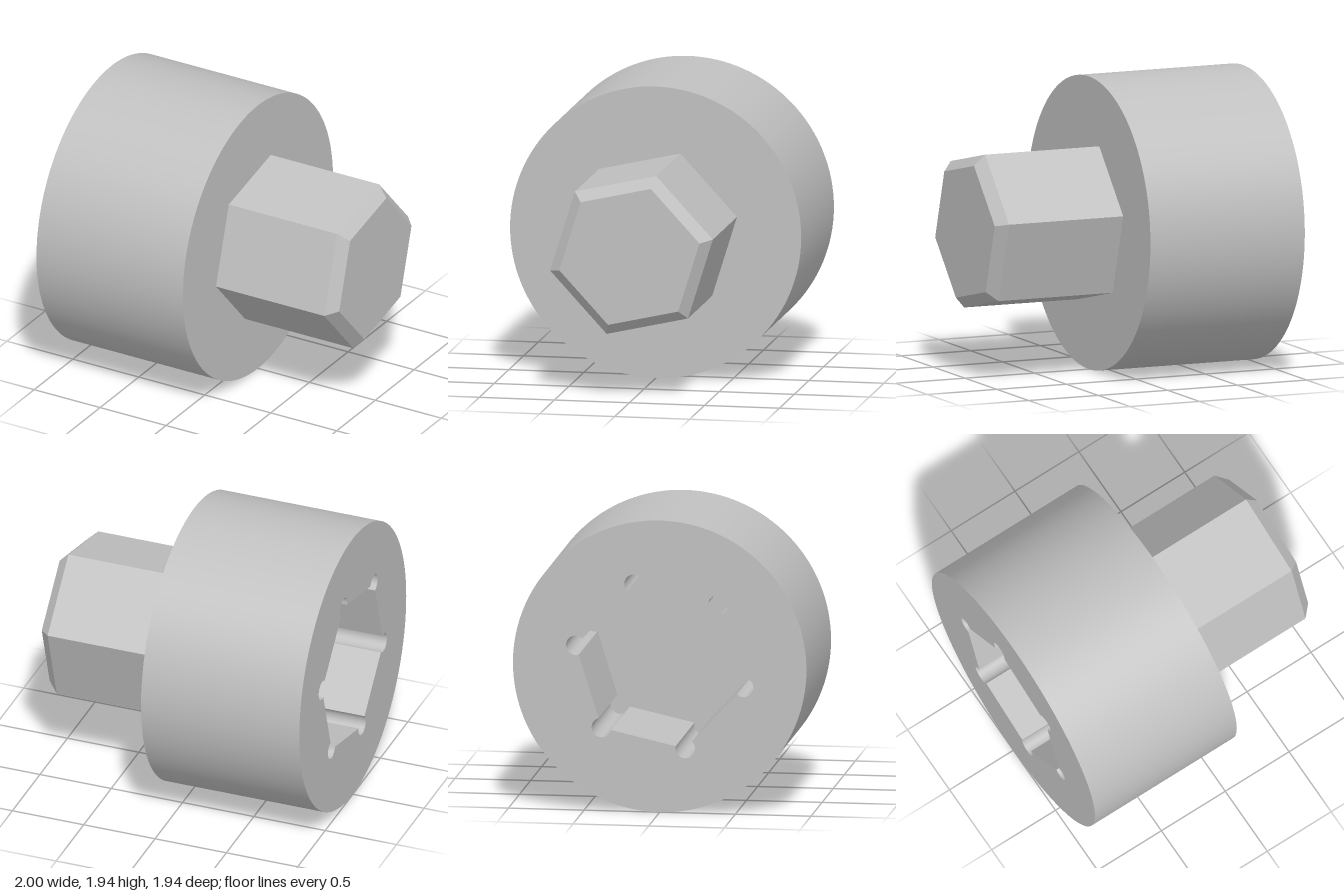
import * as THREE from 'three';
import { toCreasedNormals } from 'three/addons/utils/BufferGeometryUtils.js';

const BODY_R = 0.97, BACK = -1, FRONT = 0.11, DEPTH = 0.85;
const HEX_R = 0.556, TIP_R = 0.479, CHAMFER = 0.07;
const SOCKET_R = 0.568, RELIEF_R = 0.065;
const TWIST = THREE.MathUtils.degToRad(12.7);

// Hexagon outline with a round relief at each corner, counter-clockwise
function socketOutline() {
  const pts = [], steps = 16, third = (Math.PI * 2) / 3;
  for (let k = 0; k < 6; k++) {
    const a = -TWIST + (k * Math.PI) / 3;
    for (let i = 0; i <= steps; i++) {
      const t = a - third + (2 * third * i) / steps;
      pts.push(new THREE.Vector2(
        SOCKET_R * Math.cos(a) + RELIEF_R * Math.cos(t),
        SOCKET_R * Math.sin(a) + RELIEF_R * Math.sin(t)));
    }
  }
  return pts;
}

// Inward-facing walls between the socket mouth and its floor
function socketWalls(pts) {
  const pos = [];
  const mouth = (p) => [BACK, p.y, p.x], floor = (p) => [BACK + DEPTH, p.y, p.x];
  pts.forEach((p, i) => {
    const q = pts[(i + 1) % pts.length];
    pos.push(...floor(p), ...mouth(q), ...floor(q), ...floor(p), ...mouth(p), ...mouth(q));
  });
  const g = new THREE.BufferGeometry();
  g.setAttribute('position', new THREE.Float32BufferAttribute(pos, 3));
  return toCreasedNormals(g, Math.PI / 6);
}

export function createModel() {
  const model = new THREE.Group();
  const steel = new THREE.MeshStandardMaterial({ color: 0xc0c0c0 });
  steel.name = 'grey steel';

  const add = (name, geometry) => {
    const mesh = new THREE.Mesh(geometry, steel);
    mesh.name = name;
    mesh.position.y = BODY_R;
    model.add(mesh);
  };
  // Six-sided frustum along x, flat faced
  const hexPrism = (r0, r1, x0, x1, open) => {
    const g = new THREE.CylinderGeometry(r1, r0, x1 - x0, 6, 1, open, TWIST)
      .rotateZ(-Math.PI / 2).translate((x0 + x1) / 2, 0, 0).toNonIndexed();
    g.computeVertexNormals();
    return g;
  };

  // Round body
  add('bodySide', new THREE.CylinderGeometry(BODY_R, BODY_R, FRONT - BACK, 128, 1, true)
    .rotateZ(-Math.PI / 2).translate((FRONT + BACK) / 2, 0, 0));
  add('bodyShoulder', new THREE.CircleGeometry(BODY_R, 128)
    .rotateY(Math.PI / 2).translate(FRONT, 0, 0));

  // Socket sunk into the body's open end
  const outline = socketOutline();
  const rim = new THREE.Shape().absarc(0, 0, BODY_R, 0, Math.PI * 2, false);
  rim.holes.push(new THREE.Path(outline));
  add('socketRim', new THREE.ShapeGeometry(rim, 64).rotateY(-Math.PI / 2).translate(BACK, 0, 0));
  add('socketWalls', socketWalls(outline));
  add('socketFloor', new THREE.ShapeGeometry(new THREE.Shape(outline))
    .rotateY(-Math.PI / 2).translate(BACK + DEPTH, 0, 0));

  // Hexagonal drive with a chamfered tip
  add('hexDrive', hexPrism(HEX_R, HEX_R, FRONT, 1 - CHAMFER, true));
  add('hexTip', hexPrism(HEX_R, TIP_R, 1 - CHAMFER, 1, false));

  return model;
}
